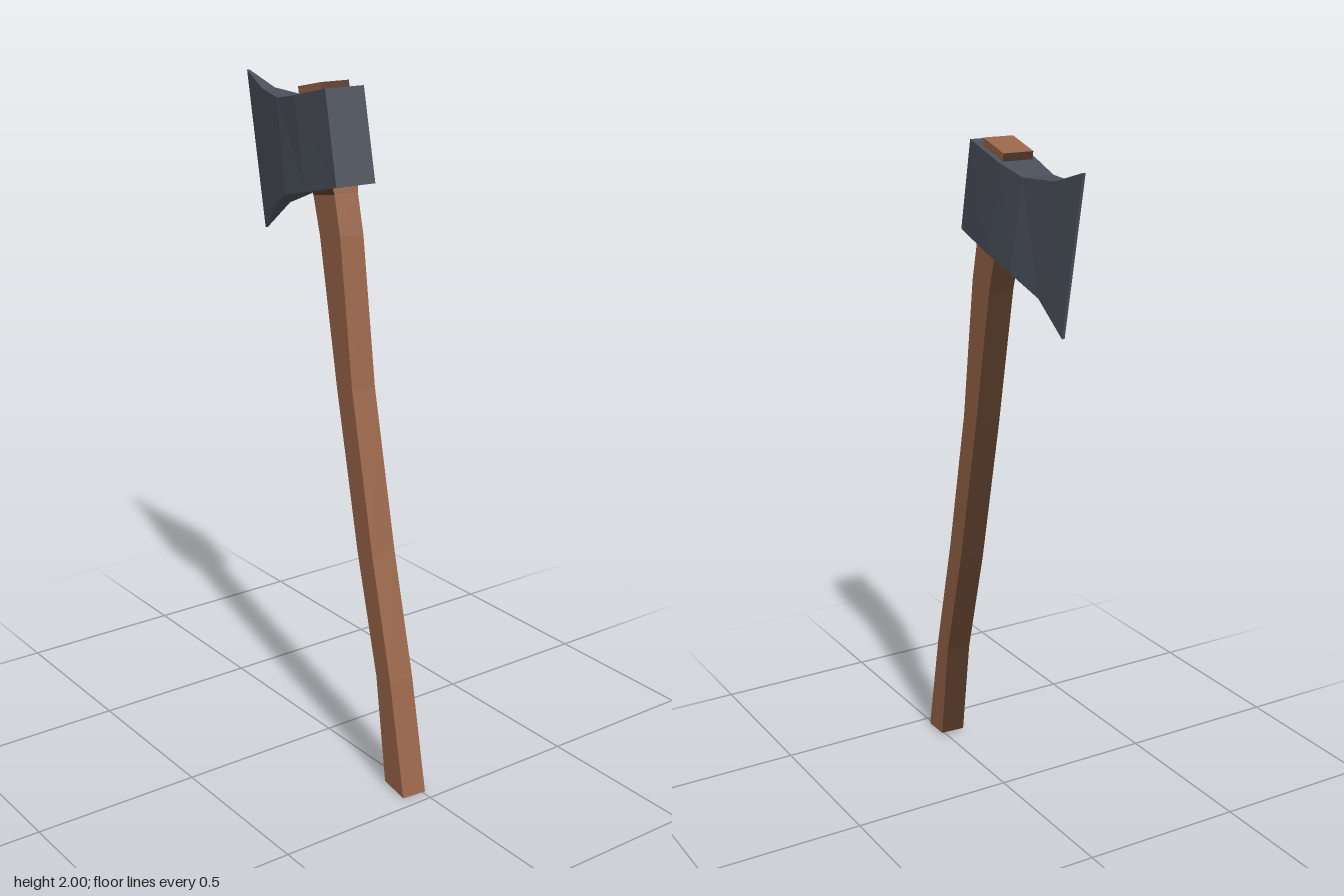
import * as THREE from 'three';

// Lofts four-sided sections [x1, y1, half-depth 1, x2, y2, half-depth 2] into a closed solid.
// Material groups: 0 front and caps, 1 second side, 2 back, 3 first side.
function loft(sections) {
  const rings = sections.map(([x1, y1, h1, x2, y2, h2]) => [
    [x1, y1, h1], [x2, y2, h2], [x2, y2, -h2], [x1, y1, -h1],
  ]);
  const geometry = new THREE.BufferGeometry();
  const pos = [];
  const quad = (group, a, b, c, d) => {
    geometry.addGroup(pos.length / 3, 6, group);
    pos.push(...a, ...b, ...c, ...a, ...c, ...d);
  };
  for (let i = 0; i < rings.length - 1; i++) {
    const a = rings[i], b = rings[i + 1];
    for (let k = 0; k < 4; k++) {
      const n = (k + 1) % 4;
      quad(k, a[k], a[n], b[n], b[k]);
    }
  }
  const first = rings[0], last = rings[rings.length - 1];
  quad(0, first[3], first[2], first[1], first[0]);
  quad(0, last[0], last[1], last[2], last[3]);
  geometry.setAttribute('position', new THREE.Float32BufferAttribute(pos, 3));
  geometry.computeVertexNormals();
  return geometry;
}

function flatMaterial(name, color) {
  const material = new THREE.MeshStandardMaterial({ color });
  material.name = name;
  return material;
}

export function createModel() {
  const wood = flatMaterial('brownWood', 0x986549);
  const darkWood = flatMaterial('darkBrownWood', 0x573a29);
  const steel = flatMaterial('darkSteel', 0x4a4f5a);

  const group = new THREE.Group();
  group.name = 'axe';
  const add = (name, sections, materials) => {
    const mesh = new THREE.Mesh(loft(sections), materials);
    mesh.name = name;
    group.add(mesh);
  };

  // Curved handle with a dark inner side
  add('handle', [
    [0.367, 0.01, 0.038, 0.463, 0.0, 0.038],
    [0.315, 0.33, 0.038, 0.387, 0.34, 0.038],
    [0.211, 0.68, 0.038, 0.287, 0.7, 0.038],
    [0.096, 1.15, 0.038, 0.177, 1.16, 0.038],
    [0.005, 1.57, 0.038, 0.112, 1.585, 0.038],
    [-0.03, 1.68, 0.038, 0.082, 1.7, 0.038],
  ], [wood, wood, wood, darkWood]);

  // Dark flared neck where the handle enters the head
  add('handleNeck', [
    [-0.03, 1.68, 0.038, 0.082, 1.7, 0.038],
    [-0.038, 1.715, 0.046, 0.074, 1.74, 0.046],
  ], [darkWood, wood, darkWood, darkWood]);

  // Tenon showing through the top of the head
  add('handleTop', [
    [-0.038, 1.715, 0.045, 0.074, 1.74, 0.045],
    [-0.1, 1.974, 0.045, 0.022, 2.0, 0.045],
  ], [wood, darkWood, wood, darkWood]);

  // Wedge-shaped head, from the cutting edge to the blunt back, slightly thicker below
  add('axeHead', [
    [-0.465, 1.975, 0.004, -0.365, 1.52, 0.004],
    [-0.345, 1.936, 0.021, -0.265, 1.61, 0.023],
    [-0.215, 1.928, 0.046, -0.16, 1.66, 0.055],
    [-0.1, 1.95, 0.058, -0.035, 1.69, 0.062],
    [0.072, 1.99, 0.062, 0.132, 1.73, 0.063],
  ], [steel, steel, steel, steel]);

  // The whole axe is turned slightly about its vertical axis
  group.rotation.y = -0.075;
  group.position.z = -0.006;
  return group;
}
